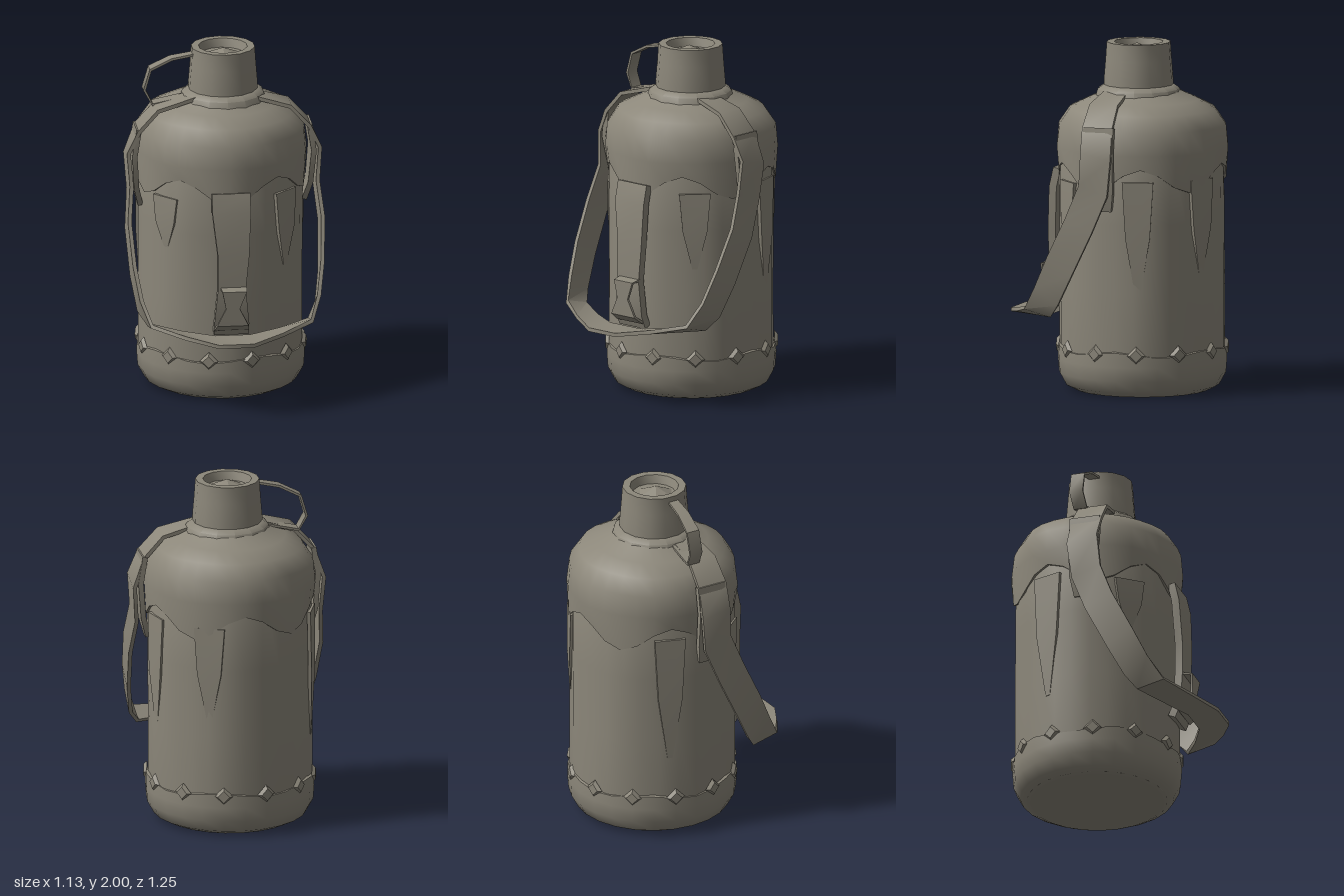
import * as THREE from 'three';
import { toCreasedNormals } from 'three/addons/utils/BufferGeometryUtils.js';

const hide = new THREE.MeshStandardMaterial({ color: 0x8c877a, side: THREE.DoubleSide });
hide.name = 'worn olive grey';

const V = (x, y, z) => new THREE.Vector3(x, y, z);

// Strap of rectangular section; each row is x, y, z, then the half width in y and z (and x)
function ribbon(rows, thick) {
  const pos = [], idx = [], n = rows.length;
  const at = i => V(...rows[Math.min(n - 1, Math.max(0, i))].slice(0, 3));
  rows.forEach(([x, y, z, wy, wz, wx = 0], i) => {
    const w = V(wx, wy, wz);
    const t = at(i + 1).sub(at(i - 1));
    const nor = t.cross(w).normalize().multiplyScalar(thick / 2);
    for (const [a, b] of [[1, 1], [-1, 1], [-1, -1], [1, -1]]) {
      pos.push(...V(x, y, z).addScaledVector(w, a).addScaledVector(nor, b).toArray());
    }
    if (i < n - 1) {
      for (let k = 0; k < 4; k++) {
        const a = i * 4 + k, b = i * 4 + (k + 1) % 4;
        idx.push(a, b, b + 4, a, b + 4, a + 4);
      }
    }
  });
  const e = (n - 1) * 4;
  idx.push(0, 3, 2, 0, 2, 1, e, e + 1, e + 2, e, e + 2, e + 3);
  const g = new THREE.BufferGeometry();
  g.setAttribute('position', new THREE.Float32BufferAttribute(pos, 3));
  g.setIndex(idx);
  return toCreasedNormals(g, 0.8);
}

// Turned profile, optionally changed by a rule on each point and its angle
function turned(profile, sides, rule, crease = 0.7) {
  const g = new THREE.LatheGeometry(profile.map(p => new THREE.Vector2(...p)), sides);
  const p = g.attributes.position;
  if (rule) {
    for (let i = 0; i < p.count; i++) {
      const v = V().fromBufferAttribute(p, i);
      rule(v, Math.atan2(v.x, v.z));
      p.setXYZ(i, v.x, v.y, v.z);
    }
  }
  return toCreasedNormals(g, crease);
}

export function createModel() {
  const model = new THREE.Group();
  const add = (name, geo, x = 0, y = 0, z = 0) => {
    const m = new THREE.Mesh(geo, hide);
    m.name = name;
    m.position.set(x, y, z);
    model.add(m);
    return m;
  };
  const cz = -0.14;

  // Flask body with shallow vertical folds
  add('body', turned(
    [[0, 0.01], [0.4, 0.01], [0.46, 0.08], [0.47, 0.22], [0.47, 0.6], [0.47, 1.0], [0.47, 1.45], [0.42, 1.58], [0.2, 1.7]],
    28, (v, a) => {
      if (v.y > 0.2 && v.y < 1.5) {
        const s = 1 + 0.014 * Math.sin(7 * a + 0.6 * Math.sin(3 * v.y));
        v.x *= s; v.z *= s;
      }
    }), 0, 0, cz);

  // Base boot with an uneven upper edge
  add('baseCover', turned(
    [[0, 0], [0.38, 0], [0.44, 0.03], [0.478, 0.1], [0.484, 0.18], [0.482, 0.25], [0.46, 0.255]],
    24, (v, a) => { if (v.y > 0.2) v.y += 0.015 * Math.sin(5 * a); }), 0, 0, cz);

  // Shoulder cape with a scalloped hem
  add('shoulderCover', turned(
    [[0.46, 1.25], [0.48, 1.25], [0.487, 1.4], [0.478, 1.53], [0.42, 1.62], [0.32, 1.67], [0.21, 1.72], [0.18, 1.74]],
    30, (v, a) => {
      if (v.y < 1.3) v.y += 0.07 * Math.cos(5 * a + Math.PI);
      else if (v.y < 1.65) {
        const s = 1 + 0.012 * Math.sin(6 * a + v.y * 9);
        v.x *= s; v.z *= s;
      }
    }), 0, 0, cz);

  // Neck collar, stopper with recessed top, and faceted knob
  add('neckCollar', turned(
    [[0.25, 1.68], [0.235, 1.73], [0.2, 1.755], [0.17, 1.755]], 14), 0.01, 0, -0.12);
  add('stopper', turned(
    [[0.2, 1.68], [0.2, 1.78], [0.19, 1.9], [0.183, 2.0], [0.14, 2.0], [0.125, 1.95], [0, 1.95]], 14), 0.01, 0, -0.12);
  const knob = new THREE.ConeGeometry(0.11, 0.045, 6).toNonIndexed();
  knob.computeVertexNormals();
  add('stopperKnob', knob, 0.01, 1.97, -0.11);

  // Small loop from the stopper to the shoulder
  add('stopperLoop', ribbon([
    [-0.16, 1.965, -0.1, 0, 0.03], [-0.29, 1.94, -0.11, 0, 0.035], [-0.41, 1.88, -0.12, 0, 0.04],
    [-0.445, 1.76, -0.12, 0, 0.04], [-0.4, 1.675, -0.11, 0, 0.04], [-0.19, 1.72, -0.1, 0, 0.04]], 0.014));

  // Carrying strap: over both shoulders and hanging in front
  const half = [
    [0.16, 1.73, -0.05, 0, 0.07], [0.38, 1.67, -0.04, 0, 0.085], [0.49, 1.55, -0.04, 0, 0.09],
    [0.55, 1.4, -0.05, 0.02, 0.09], [0.535, 1.2, -0.03, 0.03, 0.085], [0.555, 1.0, 0.05, 0.04, 0.08],
    [0.54, 0.76, 0.17, 0.05, 0.075], [0.51, 0.58, 0.26, 0.05, 0.07], [0.46, 0.48, 0.33, 0.02, 0.08],
    [0.28, 0.45, 0.44, 0.01, 0.085], [0.1, 0.432, 0.53, 0, 0.09]];
  const other = half.map(([x, ...r]) => [-x, ...r]).reverse();
  add('carryingStrap', ribbon([...half, ...other], 0.022));

  // Straps binding the shoulder cover at each side
  for (const s of [-1, 1]) {
    add('sideTab', ribbon([
      [s * 0.49, 1.56, -0.05, 0, 0.09], [s * 0.515, 1.4, -0.05, 0, 0.09],
      [s * 0.5, 1.2, -0.07, 0, 0.07], [s * 0.47, 1.08, -0.09, 0, 0.03]], 0.03));
  }

  // Front fastening: hanging tab, keeper and the loop that holds the strap
  add('frontTab', ribbon([
    [0, 1.26, 0.34, 0, 0, 0.11], [0, 1.15, 0.365, 0, 0, 0.11], [0.01, 0.9, 0.375, 0, 0, 0.09],
    [0, 0.7, 0.375, 0, 0, 0.08], [0, 0.5, 0.37, 0, 0, 0.1], [0, 0.43, 0.34, 0, 0, 0.1]], 0.045));
  add('tabKeeper', ribbon([
    [0.01, 0.71, 0.385, 0, 0, 0.075], [0.01, 0.7, 0.445, 0, 0, 0.07], [0, 0.6, 0.44, 0, 0, 0.04],
    [0, 0.5, 0.435, 0, 0, 0.09], [0, 0.46, 0.38, 0, 0, 0.1]], 0.014));

  // Side flaps lying on the body
  for (const [a, top, low] of [[0.78, 1.22, 0.78], [-0.85, 1.2, 0.9], [1.85, 1.25, 0.6], [-1.9, 1.25, 0.5], [2.7, 1.25, 0.7]]) {
    const flap = add('sideFlap', ribbon([
      [0, top, 0.468, 0, 0, 0.09], [0, (top + low) / 2, 0.472, 0, 0, 0.07], [0, low, 0.46, 0, 0, 0.015]], 0.02), 0, 0, cz);
    flap.rotation.y = a;
  }

  // Diamond studs around the base cover
  for (let i = 0; i < 12; i++) {
    const a = (i + 0.5) * Math.PI / 6;
    const stud = new THREE.CylinderGeometry(0.035, 0.055, 0.02, 4).toNonIndexed();
    stud.computeVertexNormals();
    stud.rotateX(Math.PI / 2);
    const m = add('baseStud', stud, 0.482 * Math.sin(a), 0.25, cz + 0.482 * Math.cos(a));
    m.rotation.y = a;
  }
  return model;
}
